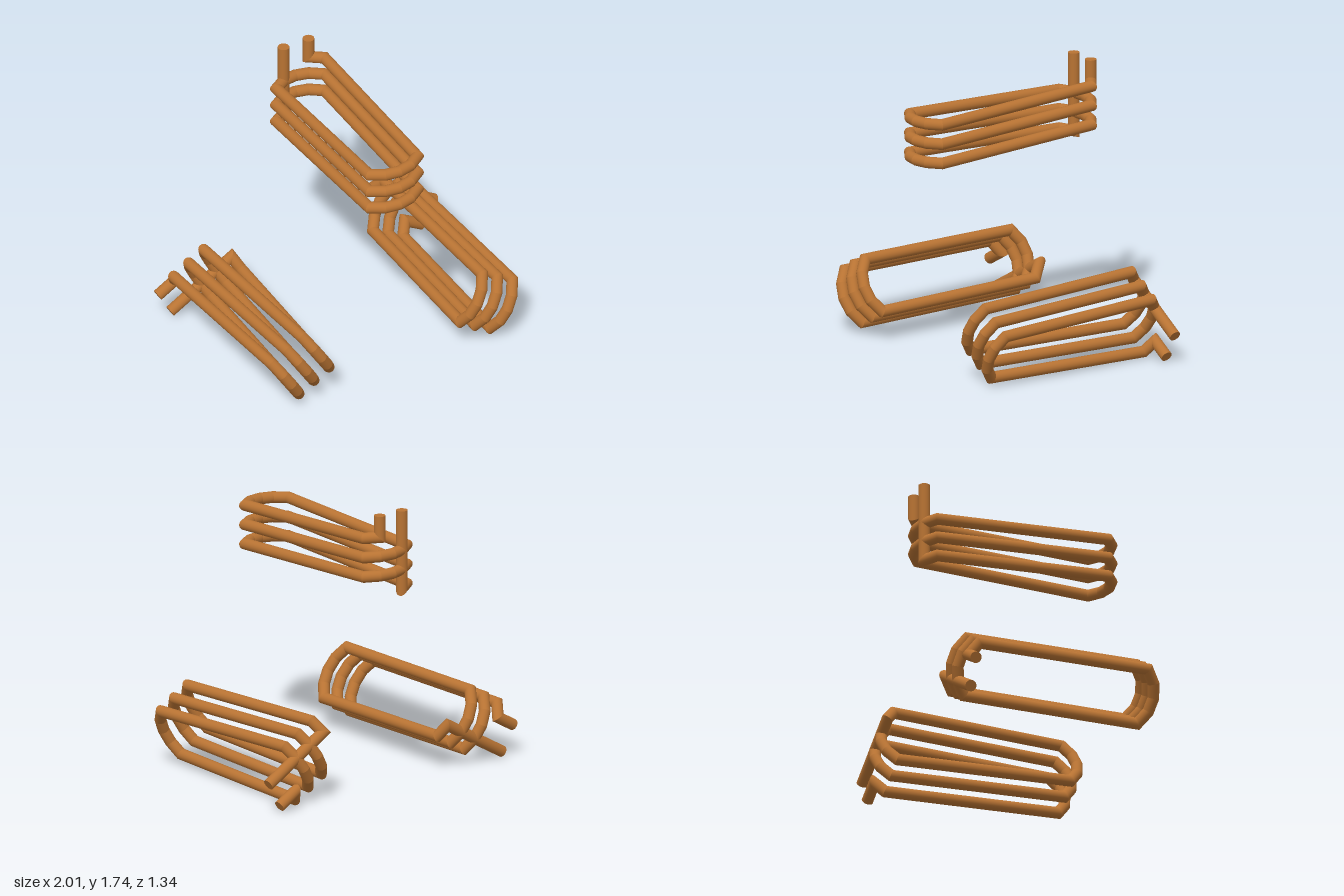
import * as THREE from 'three';

const WIRE = 0.036, SIDES = 20;
const HUB_Y = 0.662;                 // axis the three coils are arranged around
const LEAD_TOP = 1.088;              // radial distance of the lead tips
const HALF_W = 0.171, STRAIGHT = 0.56, BULGE = 0.072;
const START = 0.583, PITCH = 0.124, TURNS = 3;

// Shallow arc closing one end of the loop; side = 1 front, -1 back
function endArc(side) {
  const r = (HALF_W ** 2 + BULGE ** 2) / (2 * BULGE);
  return [-1, -0.52, 0, 0.52, 1].map((t) => {
    const x = t * HALF_W * side;
    const z = STRAIGHT + BULGE - r + Math.sqrt(r * r - x * x);
    return new THREE.Vector3(x, 0, z * side);
  });
}

// Wire path: long lead down, rising oblong turns, short lead up
function coilPath() {
  const front = endArc(1), back = endArc(-1);
  const pts = [back[3].clone(), back[4].clone()];
  for (let i = 0; i < TURNS; i++) {
    pts.push(...front.map((p) => p.clone()));
    const rear = i < TURNS - 1 ? back : back.slice(0, 2);
    // the last point of each back arc carries on into the next turn
    pts.push(...rear.map((p) => p.clone()));
  }
  const loop = [...front, ...back];
  const around = loop.reduce((s, p, i) => s + p.distanceTo(loop[(i + 1) % loop.length]), 0);
  let run = 0;
  const lengths = pts.map((p, i) => (run += i ? p.distanceTo(pts[i - 1]) : 0));
  pts.forEach((p, i) => { p.y = START + (PITCH * lengths[i]) / around; });
  const first = pts[0].clone().setY(LEAD_TOP);
  const last = pts[pts.length - 1].clone().setY(LEAD_TOP);
  return [first, ...pts, last];
}

// Round wire swept along straight segments with mitred joints and flat caps
function mitredWire(path) {
  const pos = [], nor = [], idx = [];
  const dirs = path.slice(1).map((p, i) => p.clone().sub(path[i]).normalize());
  const add = (v, n) => {
    pos.push(v.x, v.y, v.z);
    nor.push(n.x, n.y, n.z);
    return pos.length / 3 - 1;
  };
  const cap = (ring, centre, n, flip) => {
    const c = add(centre, n);
    const ids = ring.map((v) => add(v, n));
    ids.forEach((a, j) => {
      const b = ids[(j + 1) % SIDES];
      idx.push(c, flip ? b : a, flip ? a : b);
    });
  };

  const d0 = dirs[0];
  const u = new THREE.Vector3(1, 0, 0).cross(d0).normalize();
  const w = d0.clone().cross(u);
  let ring = Array.from({ length: SIDES }, (_, j) => {
    const a = (j / SIDES) * Math.PI * 2;
    return path[0].clone()
      .addScaledVector(u, Math.cos(a) * WIRE)
      .addScaledVector(w, Math.sin(a) * WIRE);
  });
  cap(ring, path[0], d0.clone().negate(), true);

  dirs.forEach((d, i) => {
    const p = path[i + 1];
    const plane = d.clone().add(dirs[i + 1] || d).normalize();
    const next = ring.map((v) =>
      v.clone().addScaledVector(d, p.clone().sub(v).dot(plane) / d.dot(plane)));
    const normals = next.map((v) => v.clone().sub(p).projectOnPlane(d).normalize());
    const a = ring.map((v, j) => add(v, normals[j]));
    const b = next.map((v, j) => add(v, normals[j]));
    for (let j = 0; j < SIDES; j++) {
      const k = (j + 1) % SIDES;
      idx.push(a[j], a[k], b[k], a[j], b[k], b[j]);
    }
    ring = next;
  });
  cap(ring, path[path.length - 1], dirs[dirs.length - 1], false);

  const geo = new THREE.BufferGeometry();
  geo.setAttribute('position', new THREE.Float32BufferAttribute(pos, 3));
  geo.setAttribute('normal', new THREE.Float32BufferAttribute(nor, 3));
  geo.setIndex(idx);
  return geo;
}

export function createModel() {
  const group = new THREE.Group();
  group.name = 'threeCoilWinding';
  const copper = new THREE.MeshStandardMaterial({ color: 0xb87333 });
  const geometry = mitredWire(coilPath());

  // Three identical coils, 120 degrees apart
  ['topCoil', 'leftCoil', 'rightCoil'].forEach((name, i) => {
    const coil = new THREE.Mesh(geometry, copper);
    coil.name = name;
    coil.position.y = HUB_Y;
    coil.rotation.z = (-i * Math.PI * 2) / 3;
    group.add(coil);
  });
  return group;
}
